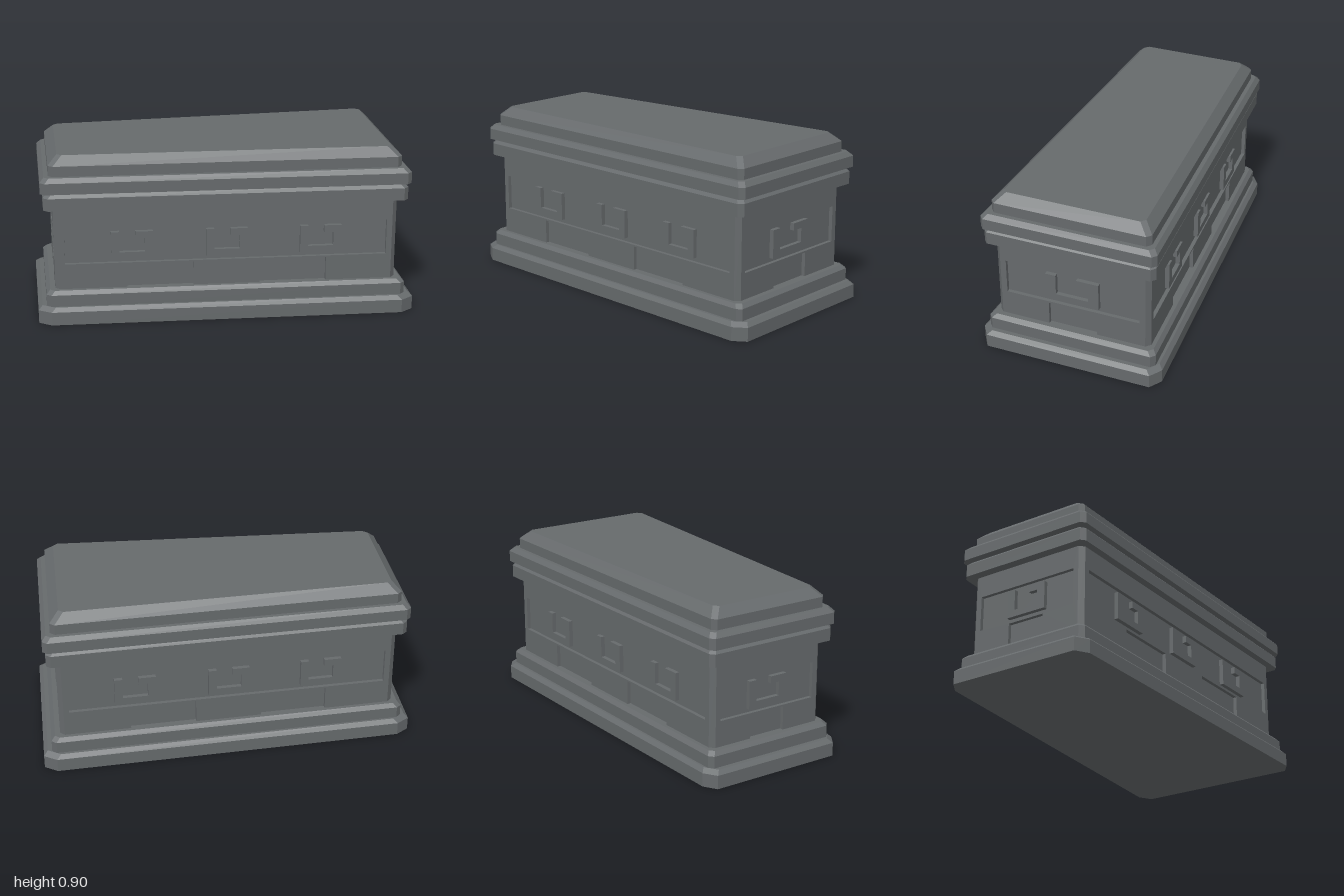
import * as THREE from 'three';

const stone = new THREE.MeshStandardMaterial({ color: 0x666a6c });
stone.name = 'grey stone';

// Tapered plan with clipped corners, counterclockwise from above; the +x end is wider
function plan(hx, zWide, cx, cz) {
  const zNarrow = zWide - 0.044 * 2 * hx;
  return [
    [hx, zWide - cz], [hx, -zWide + cz], [hx - cx, -zWide], [-hx + cx, -zNarrow],
    [-hx, -zNarrow + cz], [-hx, zNarrow - cz], [-hx + cx, zNarrow], [hx - cx, zWide],
  ];
}

// Closed solid through stacked rings; each level is { y, ring }
function loft(levels) {
  const pos = [];
  const point = (l, i) => [l.ring[i][0], l.y, l.ring[i][1]];
  const tri = (a, b, c) => pos.push(...a, ...b, ...c);
  const n = levels[0].ring.length;
  for (let k = 0; k < levels.length - 1; k++) {
    const lo = levels[k], hi = levels[k + 1];
    for (let i = 0; i < n; i++) {
      const j = (i + 1) % n;
      tri(point(lo, i), point(lo, j), point(hi, j));
      tri(point(lo, i), point(hi, j), point(hi, i));
    }
  }
  const bottom = levels[0], top = levels[levels.length - 1];
  for (let i = 1; i < n - 1; i++) {
    tri(point(bottom, 0), point(bottom, i + 1), point(bottom, i));
    tri(point(top, 0), point(top, i), point(top, i + 1));
  }
  const g = new THREE.BufferGeometry();
  g.setAttribute('position', new THREE.Float32BufferAttribute(pos, 3));
  g.computeVertexNormals();
  return g;
}

function add(parent, name, geometry) {
  const m = new THREE.Mesh(geometry, stone);
  m.name = name;
  parent.add(m);
  return m;
}

// Slab with vertical sides and a bevelled top edge
function slab(parent, name, { hx, z, y0, y1, y2, bevel, cx = 0.025, cz = 0.022 }) {
  const ring = plan(hx, z, cx, cz);
  const inner = plan(hx - bevel, z - bevel, cx, cz);
  add(parent, name, loft([{ y: y0, ring }, { y: y1, ring }, { y: y2, ring: inner }]));
}

const rectPoints = (x0, x1, y0, y1) => [[x0, y0], [x1, y0], [x1, y1], [x0, y1]].map(p => new THREE.Vector2(...p));

// Angular hooked ornament, width scaled by s
function hookGeometry(s, depth) {
  const outline = [
    [-0.11, -0.075], [0.11, -0.075], [0.11, 0.075], [0.018, 0.075], [0.018, 0.037],
    [0.067, 0.037], [0.067, -0.038], [-0.067, -0.038], [-0.067, 0.075], [-0.11, 0.075],
  ];
  const shape = new THREE.Shape(outline.map(([x, y]) => new THREE.Vector2(x * s, y)));
  return new THREE.ExtrudeGeometry(shape, { depth, bevelEnabled: false });
}

export function createModel() {
  const model = new THREE.Group();
  model.name = 'stone coffin';

  // Stepped plinth
  slab(model, 'plinth', { hx: 1, z: 0.498, y0: 0, y1: 0.072, y2: 0.092, bevel: 0.022, cx: 0.068, cz: 0.045 });
  slab(model, 'plinthStep', { hx: 0.955, z: 0.462, y0: 0.085, y1: 0.155, y2: 0.175, bevel: 0.02 });

  // Body: inner core, clipped corner posts and a framed plate on each side
  const Y0 = 0.16, Y1 = 0.635, D = 0.02;
  const body = new THREE.Group();
  body.name = 'body';
  model.add(body);
  const outer = plan(0.907, 0.42, 0.025, 0.024);
  const core = [];
  for (let i = 0; i < 8; i += 2) {
    const [a, b] = [outer[i], outer[i + 1]];
    const dx = b[0] - a[0], dz = b[1] - a[1], len = Math.hypot(dx, dz);
    const nx = -dz / len, nz = dx / len;
    core.push([a[0] - nx * D, a[1] - nz * D], [b[0] - nx * D, b[1] - nz * D]);
  }
  add(body, 'core', loft([{ y: Y0, ring: core }, { y: Y1, ring: core }]));
  for (let i = 1; i < 8; i += 2) {
    const j = (i + 1) % 8;
    const ring = [outer[i], outer[j], core[j], core[i]];
    add(body, 'cornerPost', loft([{ y: Y0, ring }, { y: Y1, ring }]));
  }

  // Recess layout for each side: main panel half width, lower recesses, ornaments
  const longSide = { half: 0.853, lower: [[-0.53, -0.178], [0.175, 0.53]], hooks: [-0.5, 0, 0.5], s: 1 };
  const wideEnd = { half: 0.365, lower: [[-0.132, 0.132]], hooks: [0], s: 1.32 };
  const narrowEnd = { half: 0.287, lower: [[-0.104, 0.104]], hooks: [0], s: 1.04 };
  const sides = [['wideEnd', wideEnd], ['backSide', longSide], ['narrowEnd', narrowEnd], ['frontSide', longSide]];
  sides.forEach(([name, layout], k) => {
    const a = outer[2 * k], b = outer[2 * k + 1];
    const dx = b[0] - a[0], dz = b[1] - a[1], half = Math.hypot(dx, dz) / 2;
    const side = new THREE.Group();
    side.name = name;
    side.position.set((a[0] + b[0]) / 2, 0, (a[1] + b[1]) / 2);
    side.rotation.y = Math.atan2(-dz, dx);
    body.add(side);
    const frame = new THREE.Shape(rectPoints(-half, half, Y0, Y1));
    frame.holes.push(new THREE.Path(rectPoints(-layout.half, layout.half, 0.313, 0.505)));
    for (const [x0, x1] of layout.lower) frame.holes.push(new THREE.Path(rectPoints(x0, x1, 0.168, 0.304)));
    add(side, 'recessedFrame', new THREE.ExtrudeGeometry(frame, { depth: D, bevelEnabled: false })).position.z = -D;
    for (const x of layout.hooks) {
      add(side, 'hookOrnament', hookGeometry(layout.s, D + 0.003)).position.set(x, 0.41, -D);
    }
  });

  // Cornice, then the lid resting just above it
  slab(model, 'cornice', { hx: 0.955, z: 0.462, y0: 0.623, y1: 0.69, y2: 0.71, bevel: 0.02 });
  slab(model, 'lidRim', { hx: 0.968, z: 0.472, y0: 0.715, y1: 0.775, y2: 0.798, bevel: 0.022 });
  slab(model, 'lidTop', { hx: 0.923, z: 0.427, y0: 0.79, y1: 0.853, y2: 0.9, bevel: 0.049 });

  return model;
}
